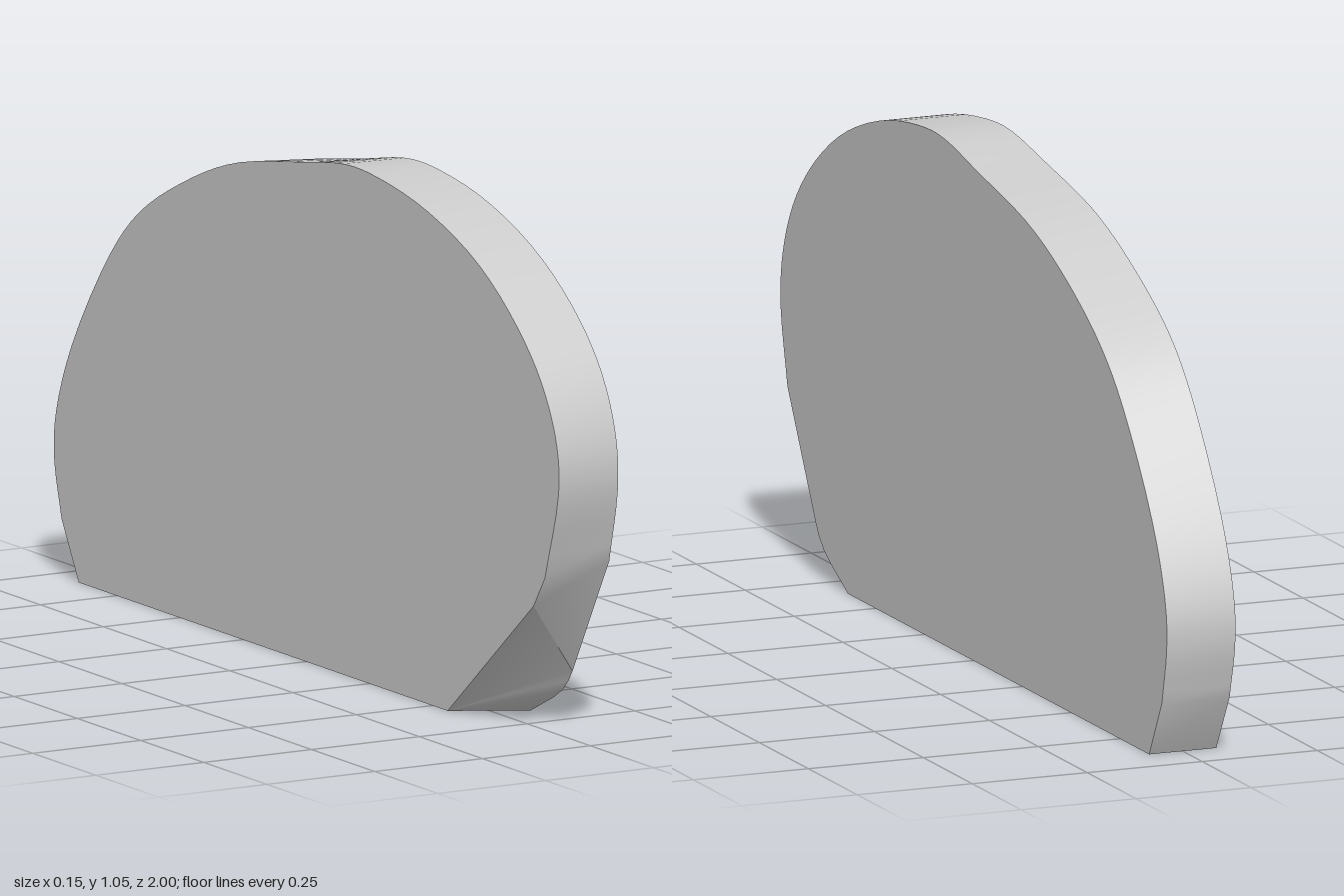
import * as THREE from 'three';
import { toCreasedNormals } from 'three/addons/utils/BufferGeometryUtils.js';

const HALF = 0.073; // half thickness

// Smooth curve through [z, y] points, as points on the plane at x
function arc(x, pts, n) {
  return new THREE.CatmullRomCurve3(pts.map(([z, y]) => new THREE.Vector3(x, y, z)), false, 'centripetal').getPoints(n);
}
const corner = (x, pts) => pts.map(([z, y]) => new THREE.Vector3(x, y, z));

export function createModel() {
  // Left face: rounded toe at the front, then the dome, then the heel
  const left = [
    ...corner(HALF, [[0.64, 0], [0.73, 0.043], [0.765, 0.064], [0.79, 0.088], [0.805, 0.11], [0.805, 0.11]]),
    ...arc(HALF, [[0.95, 0.36], [0.985, 0.52], [0.977, 0.62], [0.928, 0.73], [0.837, 0.83], [0.68, 0.933], [0.465, 1.01],
      [0.25, 1.042], [0.145, 1.04], [-0.016, 1.01], [-0.283, 0.957], [-0.47, 0.887], [-0.65, 0.787], [-0.765, 0.685],
      [-0.926, 0.465], [-0.985, 0.32], [-0.99, 0.235], [-0.965, 0.118]], 72),
    ...corner(HALF, [[-0.9, 0]]),
  ];
  // Right face: straight slope at the front, slightly fuller dome
  const right = [
    ...corner(-HALF, [[0.56, 0], [0.56, 0], [0.56, 0], [0.56, 0], [0.56, 0], [0.9, 0.275]]),
    ...arc(-HALF, [[0.945, 0.34], [1, 0.53], [0.99, 0.625], [0.936, 0.73], [0.84, 0.83], [0.68, 0.935], [0.465, 1.01],
      [0.25, 1.043], [0.145, 1.043], [-0.016, 1.018], [-0.283, 0.968], [-0.47, 0.9], [-0.66, 0.8], [-0.775, 0.695],
      [-0.936, 0.465], [-0.993, 0.32], [-0.997, 0.235], [-0.968, 0.118]], 72),
    ...corner(-HALF, [[-0.9, 0]]),
  ];

  const positions = [];
  const tri = (a, b, c) => {
    if (new THREE.Triangle(a, b, c).getArea() > 1e-8) for (const v of [a, b, c]) positions.push(v.x, v.y, v.z);
  };
  const leftMid = new THREE.Vector3(HALF, 0.4, 0);
  const rightMid = new THREE.Vector3(-HALF, 0.4, 0);
  left.forEach((p, i) => {
    const j = (i + 1) % left.length;
    // rim
    tri(p, left[j], right[i]);
    tri(left[j], right[j], right[i]);
    // flat faces
    tri(leftMid, left[j], p);
    tri(rightMid, right[i], right[j]);
  });

  const geometry = new THREE.BufferGeometry();
  geometry.setAttribute('position', new THREE.Float32BufferAttribute(positions, 3));
  const slab = new THREE.Mesh(toCreasedNormals(geometry, 0.5), new THREE.MeshStandardMaterial({ color: 0xcccccc }));
  slab.name = 'domedSlab';

  const model = new THREE.Group();
  model.name = 'domedPanel';
  model.add(slab);
  return model;
}
